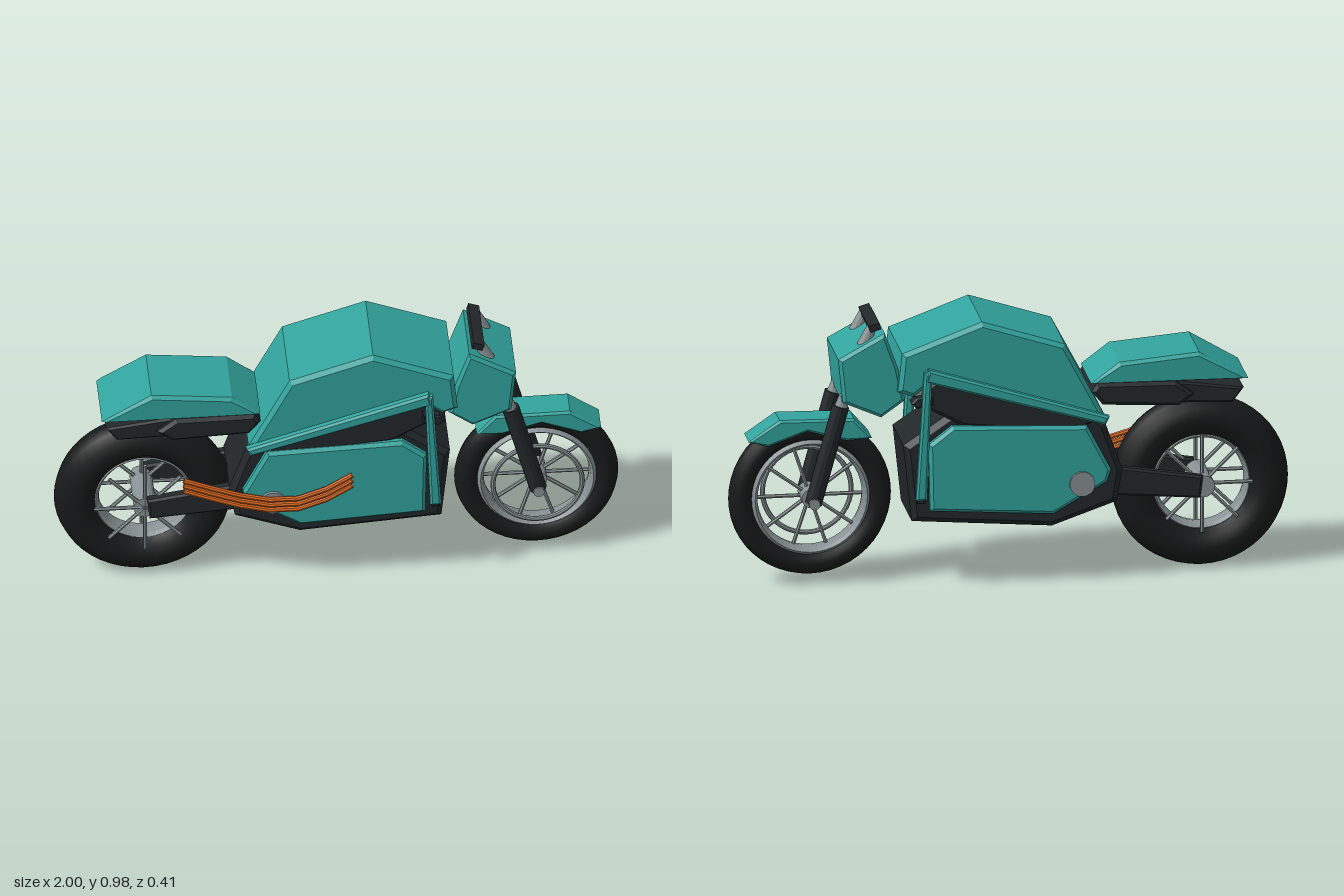
import * as THREE from 'three';

const mat = (color) => new THREE.MeshStandardMaterial({ color, flatShading: true });

export function createModel() {
  const bike = new THREE.Group();
  bike.name = 'motorcycle';
  const teal = mat(0x32a39d), dark = mat(0x22272a), grey = mat(0x889194), orange = mat(0xd9661f);
  const rubber = new THREE.MeshStandardMaterial({ color: 0x18191a });

  const add = (name, geo, material, parent = bike) => {
    const m = new THREE.Mesh(geo, material);
    m.name = name;
    parent.add(m);
    return m;
  };

  // Side profile extruded across z from z0 to z1, with chamfered edges
  const slab = (name, pts, z0, z1, material, bevel = 0.012) => {
    const shape = new THREE.Shape(pts.map(([x, y]) => new THREE.Vector2(x, y)));
    const geo = new THREE.ExtrudeGeometry(shape, {
      depth: z1 - z0 - 2 * bevel, bevelEnabled: true, bevelSegments: 1,
      bevelSize: bevel, bevelThickness: bevel, bevelOffset: -bevel,
    });
    geo.translate(0, 0, z0 + bevel);
    return add(name, geo, material);
  };
  const pair = (name, pts, z0, z1, material, bevel) => {
    slab(name + 'Left', pts, z0, z1, material, bevel);
    slab(name + 'Right', pts, -z1, -z0, material, bevel);
  };

  // Round bar between two points
  const bar = (name, a, b, r0, r1, material, parent = bike, sides = 12) => {
    const p = new THREE.Vector3(...a), q = new THREE.Vector3(...b);
    const m = add(name, new THREE.CylinderGeometry(r1, r0, p.distanceTo(q), sides), material, parent);
    m.position.copy(p).add(q).multiplyScalar(0.5);
    m.quaternion.setFromUnitVectors(new THREE.Vector3(0, 1, 0), q.sub(p).normalize());
    return m;
  };

  // Wheel: tyre, rim, hub and spokes at the given depths
  const wheel = (name, x, y, radius, tube, tubeZ, rimR, spokes, spokeR, depths, hubR, hubZ) => {
    const g = new THREE.Group();
    g.name = name;
    g.position.set(x, y, 0);
    bike.add(g);
    add('tyre', new THREE.TorusGeometry(radius - tube, tube, 12, 48), rubber, g).scale.z = tubeZ / tube;
    add('rim', new THREE.TorusGeometry(rimR, 0.014, 8, 48), grey, g).scale.z = 3;
    bar('hub', [0, 0, -hubZ], [0, 0, hubZ], hubR, hubR, grey, g, 16);
    for (const z of depths) {
      for (let i = 0; i < spokes; i++) {
        const a = (i / spokes) * Math.PI * 2;
        bar('spoke', [0, 0, z], [Math.cos(a) * spokeR, Math.sin(a) * spokeR, z], 0.007, 0.007, grey, g, 6);
      }
    }
    return g;
  };
  wheel('rearWheel', -0.685, 0.32, 0.315, 0.076, 0.075, 0.17, 8, 0.18, [-0.06, 0.095], 0.04, 0.1);
  const front = wheel('frontWheel', 0.705, 0.325, 0.29, 0.045, 0.045, 0.2, 10, 0.195, [0], 0.035, 0.05);
  add('brakeRing', new THREE.TorusGeometry(0.158, 0.009, 8, 40), grey, front).position.z = 0.064;
  bar('frontAxle', [0, 0, -0.125], [0, 0, 0.125], 0.02, 0.02, grey, front);

  // Engine block and side covers
  slab('engineBlock', [[-0.39, 0.41], [-0.37, 0.29], [-0.14, 0.21], [0.36, 0.25], [0.39, 0.53],
    [0.22, 0.645], [-0.24, 0.66], [-0.33, 0.58]], -0.145, 0.145, dark, 0.02);
  pair('sideCover', [[-0.345, 0.42], [-0.33, 0.375], [-0.14, 0.265], [0.3, 0.295], [0.305, 0.54],
    [0.22, 0.605], [-0.26, 0.585]], 0.135, 0.175, teal);
  for (const s of [1, -1])
    bar('coverDisc', [-0.24, 0.375, s * 0.16], [-0.24, 0.375, s * 0.186], 0.045, 0.045, grey, bike, 20);

  // Frame filling between tank and engine
  slab('midFrame', [[-0.3, 0.6], [-0.2, 0.56], [0.18, 0.6], [0.33, 0.68], [0.36, 0.72],
    [0.28, 0.77], [-0.15, 0.68]], -0.16, 0.16, dark);
  pair('framePeg', [[0.29, 0.69], [0.35, 0.68], [0.37, 0.7], [0.35, 0.72], [0.29, 0.73]], 0.13, 0.186, dark, 0.006);

  // Tank
  slab('tank', [[-0.325, 0.615], [-0.18, 0.89], [0.115, 0.985], [0.4, 0.88], [0.415, 0.74],
    [0.36, 0.72], [0.3, 0.765], [-0.31, 0.6]], -0.178, 0.178, teal, 0.015);

  // Side trim: sloping rail and upright strut
  pair('tankRail', [[-0.335, 0.625], [0.31, 0.827], [0.322, 0.78], [-0.32, 0.595]], 0.168, 0.205, teal, 0.008);
  pair('strut', [[0.297, 0.815], [0.325, 0.815], [0.355, 0.345], [0.315, 0.345]], 0.168, 0.203, teal, 0.008);
  pair('strutFoot', [[0.32, 0.355], [0.35, 0.355], [0.35, 0.33], [0.32, 0.33]], 0.172, 0.19, dark, 0.004);

  // Tail, its frame and rear mudguard
  slab('seatTail', [[-0.84, 0.72], [-0.665, 0.825], [-0.38, 0.8], [-0.28, 0.725]], -0.134, 0.134, teal);
  slab('seatFrame', [[-0.645, 0.675], [-0.58, 0.725], [-0.3, 0.73], [-0.28, 0.7], [-0.32, 0.65],
    [-0.59, 0.635]], -0.146, 0.146, dark);
  slab('rearMudguard', [[-0.825, 0.685], [-0.58, 0.72], [-0.58, 0.64], [-0.785, 0.632]], -0.122, 0.122, dark, 0.008);

  // Swing arms
  pair('swingArm', [[-0.68, 0.365], [-0.67, 0.285], [-0.3, 0.315], [-0.3, 0.425]], 0.085, 0.125, dark, 0.008);

  // Headlight cowl
  slab('headCowl', [[0.457, 0.95], [0.623, 0.86], [0.607, 0.7], [0.47, 0.64], [0.385, 0.7],
    [0.41, 0.82]], -0.145, 0.145, teal, 0.012);

  // Front mudguard
  slab('frontMudguard', [[0.49, 0.54], [0.555, 0.615], [0.82, 0.62], [0.93, 0.545], [0.86, 0.525],
    [0.72, 0.575], [0.58, 0.535]], -0.06, 0.06, teal, 0.008);

  // Fork legs, bar risers and handlebar
  for (const s of [1, -1]) {
    const z = s * 0.09;
    bar('forkLeg', [0.705, 0.32, z], [0.607, 0.675, z], 0.031, 0.031, dark);
    bar('forkTop', [0.61, 0.66, z], [0.588, 0.74, z], 0.026, 0.013, grey);
    bar('barRiser', [0.525, 0.895, z], [0.495, 0.97, z], 0.027, 0.016, grey);
  }
  const handle = add('handlebar', new THREE.BoxGeometry(0.04, 0.025, 0.24), dark);
  handle.position.set(0.49, 0.967, 0);
  handle.rotation.z = -0.3;

  // Three stacked exhaust pipes on the left flank
  for (const dy of [-0.022, 0, 0.022]) {
    const path = new THREE.CatmullRomCurve3([
      [-0.555, 0.46, 0.172], [-0.34, 0.392, 0.188], [-0.2, 0.372, 0.195],
      [-0.09, 0.392, 0.193], [0.04, 0.46, 0.186],
    ].map(([x, y, z]) => new THREE.Vector3(x, y + dy, z)));
    add('exhaustPipe', new THREE.TubeGeometry(path, 6, 0.01, 8), orange).material.side = THREE.DoubleSide;
  }
  return bike;
}
